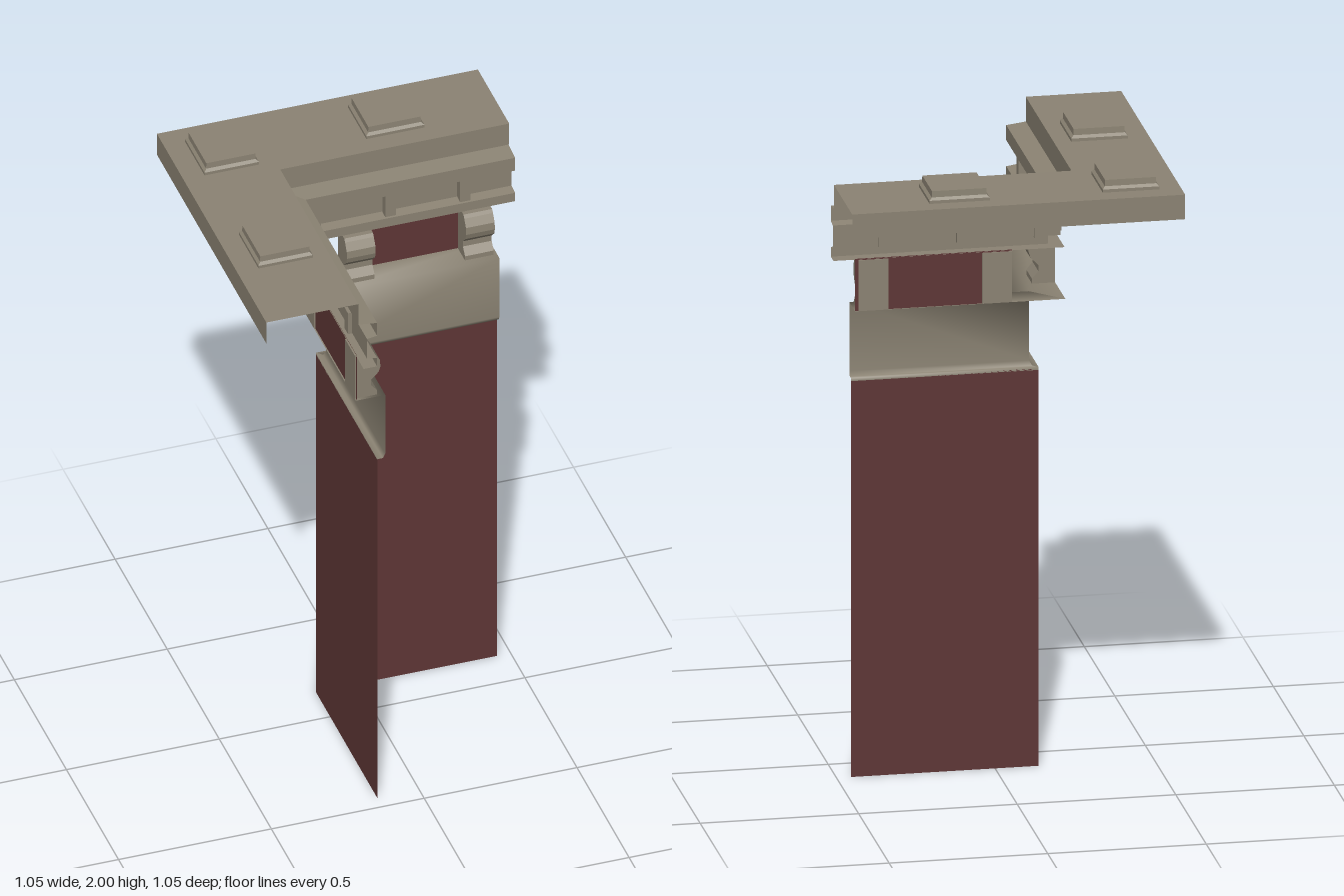
import * as THREE from 'three';

const stone = new THREE.MeshStandardMaterial({ color: 0x8b8373, side: THREE.DoubleSide });
stone.name = 'stone';
const brick = new THREE.MeshStandardMaterial({ color: 0x5e3635, side: THREE.DoubleSide });
brick.name = 'darkRed';

// Sweeps a [depth, height] profile along one arm of the corner, mitred unless a start is given.
// alongX picks the arm; the other arm is its mirror across the diagonal.
function sweep(profile, end, alongX, smooth = false, start = null) {
  const pos = [], index = [];
  const put = (run, d, y) => (alongX ? pos.push(run, y, d) : pos.push(d, y, run));
  for (const [d, y] of profile) {
    put(start ?? d, d, y);
    put(end, d, y);
  }
  for (let i = 0; i < profile.length - 1; i++) {
    const a = 2 * i, b = a + 2, c = a + 1, e = a + 3;
    if (alongX) index.push(a, b, c, b, e, c);
    else index.push(a, c, b, b, c, e);
  }
  let geo = new THREE.BufferGeometry();
  geo.setAttribute('position', new THREE.Float32BufferAttribute(pos, 3));
  geo.setIndex(index);
  if (!smooth) geo = geo.toNonIndexed();
  geo.computeVertexNormals();
  return geo;
}

// Solid block with a [depth, height] outline, running from r0 to r1 along an arm.
function block(outline, r0, r1, alongX) {
  const shape = new THREE.Shape(outline.map(([d, y]) => new THREE.Vector2(d, y)));
  const geo = new THREE.ExtrudeGeometry(shape, { depth: r1 - r0, bevelEnabled: false });
  if (alongX) geo.rotateY(-Math.PI / 2).translate(r1, 0, 0);
  else geo.translate(0, 0, r0);
  return geo;
}

// Square roof pad: straight base, sloped shoulder, raised top.
function pad(cx, cz, w, d) {
  const rings = [[1, 1.945], [1, 1.972], [0.91, 1.98], [0.9, 2.0]];
  const s = Math.SQRT1_2;
  const pts = rings.map(([k, y]) => new THREE.Vector2(k * s, y));
  pts.push(new THREE.Vector2(0, 2.0));
  const geo = new THREE.LatheGeometry(pts, 4).rotateY(Math.PI / 4).scale(w, 1, d).translate(cx, 0, cz);
  const flat = geo.toNonIndexed();
  flat.computeVertexNormals();
  return flat;
}

const wallProfile = [[-0.137, 1.295], [-0.137, 0]];
const panelProfile = [[-0.204, 1.71], [-0.204, 1.54]];
const friezeProfile = [[-0.208, 1.54], [-0.112, 1.54], [-0.112, 1.315], [-0.12, 1.3], [-0.137, 1.3], [-0.137, 1.29]];
const roofProfile = [[-0.525, 1.882], [-0.525, 1.962], [-0.224, 1.962], [-0.224, 1.882]];
const corniceProfile = [
  [-0.224, 1.882], [-0.162, 1.874], [-0.162, 1.825], [-0.195, 1.82],
  [-0.195, 1.745], [-0.162, 1.74], [-0.162, 1.708], [-0.206, 1.708],
];
const corbelOutline = [
  [-0.208, 1.54], [-0.135, 1.54], [-0.135, 1.556], [-0.155, 1.58], [-0.155, 1.6],
  [-0.13, 1.625], [-0.124, 1.645], [-0.126, 1.67], [-0.142, 1.695], [-0.15, 1.705], [-0.208, 1.705],
];
const dentilOutline = [[-0.208, 1.743], [-0.166, 1.743], [-0.166, 1.822], [-0.208, 1.822]];

export function createModel() {
  const model = new THREE.Group();
  model.name = 'buildingCorner';
  const add = (parent, name, geo, mat) => {
    const mesh = new THREE.Mesh(geo, mat);
    mesh.name = name;
    parent.add(mesh);
  };

  for (const alongX of [true, false]) {
    const arm = new THREE.Group();
    arm.name = alongX ? 'backArm' : 'sideArm';
    model.add(arm);

    // Wall, frieze with its shelf, and the panel above it
    add(arm, 'wall', sweep(wallProfile, 0.455, alongX), brick);
    add(arm, 'frieze', sweep(friezeProfile, 0.455, alongX, true), stone);
    add(arm, 'upperPanel', sweep(panelProfile, 0.455, alongX, false, -0.04), brick);

    // Cornice and open-bottomed roof
    add(arm, 'cornice', sweep(corniceProfile, 0.523, alongX), stone);
    add(arm, 'roof', sweep(roofProfile, 0.525, alongX), stone);

    // Scrolled supports and small teeth in the cornice recess
    for (const r of [-0.04, 0.35]) add(arm, 'corbel', block(corbelOutline, r, r + 0.094, alongX), stone);
    for (const r of [-0.145, 0.1, 0.345]) add(arm, 'dentil', block(dentilOutline, r, r + 0.034, alongX), stone);
  }

  // Roof pads
  add(model, 'cornerPad', pad(-0.367, -0.364, 0.178, 0.188), stone);
  add(model, 'backPad', pad(0.175, -0.378, 0.19, 0.177), stone);
  add(model, 'sidePad', pad(-0.367, 0.153, 0.178, 0.19), stone);
  return model;
}
